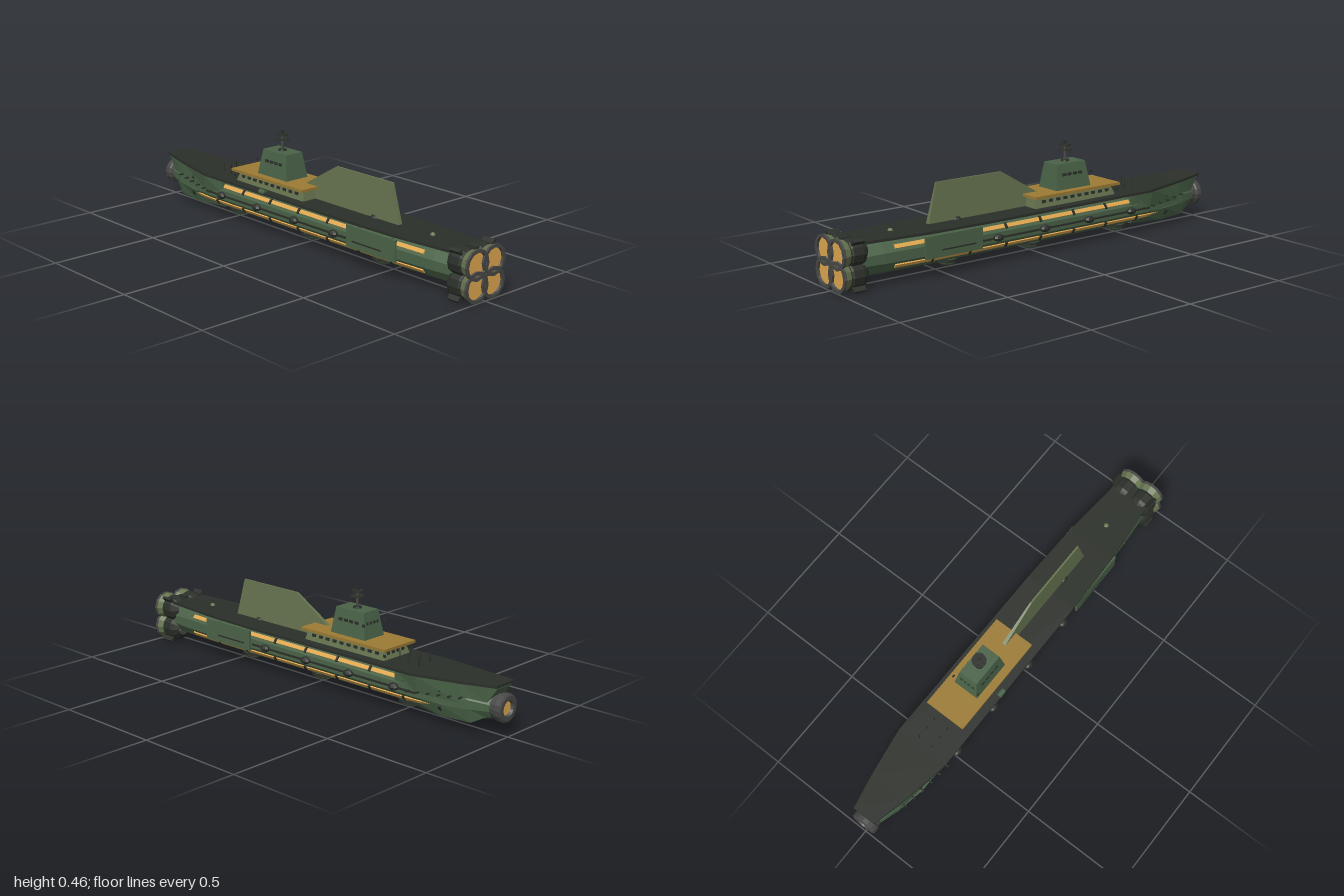
import * as THREE from 'three';

const mat = (color) => new THREE.MeshStandardMaterial({ color, flatShading: true, side: THREE.DoubleSide });

// Skins equal-length rings of [x, y] points placed along z, with capped ends
function loft(sections) {
  const pos = [], idx = [], n = sections[0].pts.length;
  for (const s of sections) for (const p of s.pts) pos.push(p[0], p[1], s.z);
  for (let i = 0; i < sections.length - 1; i++) {
    for (let j = 0; j < n; j++) {
      const a = i * n + j, b = i * n + (j + 1) % n;
      idx.push(a, a + n, b, b, a + n, b + n);
    }
  }
  const e = (sections.length - 1) * n;
  for (let j = 1; j < n - 1; j++) idx.push(0, j, j + 1, e, e + j + 1, e + j);
  const g = new THREE.BufferGeometry();
  g.setAttribute('position', new THREE.Float32BufferAttribute(pos, 3));
  g.setIndex(idx);
  const flat = g.toNonIndexed();
  flat.computeVertexNormals();
  return flat;
}

// Four-sided section: half width wb at height yb, wt at height yt
const quad = (z, wb, yb, wt, yt) => ({ z, pts: [[wb, yb], [wt, yt], [-wt, yt], [-wb, yb]] });

// Box whose top face has its own half width and z range
function taperBox(w0, w1, y0, y1, zb, zt) {
  const g = new THREE.BoxGeometry(1, 1, 1);
  const p = g.attributes.position;
  for (let i = 0; i < p.count; i++) {
    const top = p.getY(i) > 0, z = top ? zt : zb;
    p.setXYZ(i, Math.sign(p.getX(i)) * (top ? w1 : w0), top ? y1 : y0, p.getZ(i) > 0 ? z[1] : z[0]);
  }
  g.computeVertexNormals();
  return g;
}

// Hull stations: z, half width, half height
const stations = [[0.93, 0.085, 0.07], [0.8, 0.096, 0.079], [0.6, 0.106, 0.08], [0.3, 0.108, 0.08],
  [-0.6, 0.108, 0.08], [-0.85, 0.08, 0.074], [-0.95, 0.05, 0.05]];
const CY = 0.12;
function hullAt(z) {
  let i = 0;
  while (i < stations.length - 2 && stations[i + 1][0] > z) i++;
  const [a, b] = [stations[i], stations[i + 1]], t = (z - a[0]) / (b[0] - a[0]);
  return [a[1] + (b[1] - a[1]) * t, a[2] + (b[2] - a[2]) * t];
}

export function createModel() {
  const root = new THREE.Group();
  root.name = 'ship';
  const green = mat(0x4a6348), olive = mat(0x66744f), dark = mat(0x2b2f29), grey = mat(0x484846);
  const gold = mat(0x9c7b34), glow = mat(0xe0a850);
  const add = (name, geo, m, x = 0, y = 0, z = 0, parent = root) => {
    const mesh = new THREE.Mesh(geo, m);
    mesh.name = name;
    mesh.position.set(x, y, z);
    parent.add(mesh);
    return mesh;
  };
  const box = (name, m, w, h, d, x, y, z) => add(name, new THREE.BoxGeometry(w, h, d), m, x, y, z);
  const rod = (name, m, r0, r1, len, x, y, z, sides = 12) =>
    add(name, new THREE.CylinderGeometry(r0, r1, len, sides), m, x, y, z);

  // Twelve-sided hull
  add('hull', loft(stations.map(([z, rx, ry]) => ({
    z,
    pts: Array.from({ length: 12 }, (_, k) => {
      const a = (k + 0.5) * Math.PI / 6;
      return [Math.cos(a) * rx, CY + Math.sin(a) * ry / Math.cos(Math.PI / 12)];
    }),
  }))), green);

  // Flared bow under the deck and the chin below it
  add('bow', loft([quad(-0.5, 0.1, 0.12, 0.105, 0.197), quad(-0.62, 0.105, 0.12, 0.122, 0.199),
    quad(-0.82, 0.08, 0.12, 0.086, 0.207), quad(-0.93, 0.05, 0.14, 0.06, 0.211),
    quad(-0.975, 0.045, 0.205, 0.05, 0.214)]), green);
  add('chin', loft([quad(-0.55, 0.05, 0.042, 0.095, 0.09), quad(-0.72, 0.075, 0.04, 0.1, 0.1),
    quad(-0.86, 0.06, 0.042, 0.075, 0.1), quad(-0.95, 0.03, 0.09, 0.04, 0.11)]), green);

  // Overhanging deck, rising toward the bow
  const deck = [[0.95, 0.086, 0.205], [0.6, 0.116, 0.203], [0.3, 0.125, 0.203], [-0.6, 0.127, 0.205],
    [-0.82, 0.09, 0.214], [-0.98, 0.055, 0.222]];
  add('deck', loft(deck.map(([z, w, y]) => quad(z, w, y - 0.011, w, y))), dark);

  // Nose ring with a glowing port
  const nose = new THREE.Group();
  nose.name = 'nose';
  nose.position.set(0, 0.12, -0.965);
  nose.rotation.x = -Math.PI / 2;
  root.add(nose);
  const lathe = (pts, n) => new THREE.LatheGeometry(pts.map((p) => new THREE.Vector2(...p)), n);
  add('noseRing', lathe([[0.05, -0.04], [0.054, 0], [0.06, 0.005], [0.06, 0.03], [0.052, 0.035],
    [0.034, 0.035], [0.03, 0.02]], 16), grey, 0, 0, 0, nose);
  add('nosePort', new THREE.CircleGeometry(0.034, 16), glow, 0, 0.022, 0, nose).rotation.x = -Math.PI / 2;

  // Four engines with grey rims and glowing discs
  for (const sx of [-1, 1]) for (const sy of [-1, 1]) {
    const e = new THREE.Group();
    e.name = 'engine';
    e.position.set(sx * 0.0485, 0.1145 + sy * 0.046, 0.89);
    e.rotation.x = Math.PI / 2;
    root.add(e);
    add('engineBody', lathe([[0.03, -0.02], [0.056, 0], [0.06, 0.015], [0.06, 0.06], [0.054, 0.065],
      [0.054, 0.075]], 12), dark, 0, 0, 0, e);
    add('engineBell', lathe([[0.054, 0.07], [0.063, 0.098]], 12), olive, 0, 0, 0, e);
    add('engineRim', lathe([[0.063, 0.098], [0.066, 0.1], [0.066, 0.11], [0.052, 0.11], [0.05, 0.096]], 12),
      grey, 0, 0, 0, e);
    add('engineGlow', new THREE.CircleGeometry(0.053, 12), glow, 0, 0.1, 0, e).rotation.x = -Math.PI / 2;
    // Outer clamp
    box('engineClamp', dark, 0.03, 0.012, 0.055, sx * 0.093, 0.1145 + sy * 0.094, 0.925)
      .rotation.z = sx * sy * Math.PI / 4;
  }
  box('engineCoupling', grey, 0.05, 0.012, 0.06, 0, 0.1145, 0.96);
  box('engineTopClamp', dark, 0.02, 0.012, 0.05, 0, 0.207, 0.925);

  for (const s of [-1, 1]) {
    // Light strips along the upper and lower flanks, broken into panels
    for (const v of [-1, 1]) {
      for (let i = 0; i < 8; i++) {
        const z = 0.665 - i * 0.186, [rx, ry] = hullAt(z), [r0] = hullAt(z + 0.09), [r1] = hullAt(z - 0.09);
        const m = box('lightStrip', glow, 0.008, 0.018, 0.172, s * rx * 0.85, CY + v * ry * 0.5, z);
        m.rotation.order = 'YXZ';
        m.rotation.z = s * v * 0.66;
        m.rotation.y = s * Math.atan((r0 - r1) / 0.18) * 0.85;
        box('stripClamp', dark, 0.014, 0.026, 0.01, s * rx * 0.85, CY + v * ry * 0.5, z - 0.093)
          .rotation.z = s * v * 0.66;
      }
    }
    // Armour plate, rails and flank blisters
    box('armourPlate', green, 0.01, 0.094, 0.285, s * 0.117, 0.137, 0.482);
    box('armourSlot', dark, 0.004, 0.006, 0.17, s * 0.122, 0.12, 0.46);
    box('flankRail', dark, 0.01, 0.008, 0.95, s * 0.105, 0.118, -0.14);
    for (const z of [0.25, 0, -0.25, -0.5]) {
      const d = add('flankBlister', new THREE.SphereGeometry(0.02, 10, 6), dark, s * 0.11, 0.12, z);
      d.scale.set(1, 0.8, 1.3);
    }
    // Bow guns
    for (let i = 0; i < 6; i++) {
      const z = -0.58 - i * 0.05;
      rod('bowGun', dark, 0.004, 0.004, 0.03, s * (hullAt(z)[0] + 0.004), 0.122 + i * 0.005, z, 6)
        .rotation.z = Math.PI / 2;
    }
    // Deckhouse windows and tower lamps
    for (let i = 0; i < 10; i++) box('houseWindow', dark, 0.006, 0.012, 0.02, s * 0.076, 0.229, -0.02 - i * 0.04);
    for (let i = 0; i < 4; i++) box('towerWindow', dark, 0.006, 0.012, 0.02, s * 0.0525, 0.325, -0.153 - i * 0.03);
    box('towerLamp', dark, 0.005, 0.011, 0.012, s * 0.066, 0.325, -0.295);
    box('houseLamp', dark, 0.005, 0.011, 0.012, s * 0.087, 0.228, -0.43);
    for (let i = 0; i < 3; i++) rod('deckPost', dark, 0.0025, 0.0025, 0.045, s * 0.035, 0.226, -0.47 - i * 0.05, 6);
  }
  for (const x of [-0.045, -0.015, 0.015, 0.045]) {
    box('houseEndWindow', dark, 0.016, 0.012, 0.006, x, 0.229, -0.415);
    box('towerEndWindow', dark, 0.012, 0.012, 0.006, x * 0.7, 0.325, -0.284);
  }

  // Belly turrets
  for (const z of [0.44, 0, -0.5]) {
    const d = add('bellyTurret', new THREE.SphereGeometry(0.045, 12, 8), green, 0, 0.037, z);
    d.scale.y = 0.6;
    rod('bellyMount', dark, 0.05, 0.05, 0.012, 0, 0.037, z);
  }

  // Deckhouse, platform and tower
  add('deckhouse', taperBox(0.083, 0.07, 0.2, 0.25, [-0.425, 0.03], [-0.405, 0.02]), olive);
  box('platform', gold, 0.194, 0.012, 0.48, 0, 0.254, -0.2);
  add('tower', taperBox(0.061, 0.045, 0.26, 0.373, [-0.297, -0.103], [-0.277, -0.12]), green);

  // Mast with dishes
  rod('mast', grey, 0.005, 0.007, 0.085, 0, 0.412, -0.2, 8);
  rod('mastBase', dark, 0.018, 0.02, 0.008, 0, 0.376, -0.2);
  rod('lowerDish', dark, 0.032, 0.032, 0.003, 0, 0.425, -0.2);
  rod('middleDish', dark, 0.022, 0.022, 0.003, 0, 0.443, -0.2);
  rod('upperDish', dark, 0.027, 0.027, 0.003, 0, 0.449, -0.2);
  box('mastHead', dark, 0.011, 0.014, 0.011, 0, 0.457, -0.2);

  // Dorsal fin, thinner toward its top
  const outline = new THREE.Shape([[0.535, 0.198], [0.49, 0.373], [0.155, 0.373], [-0.05, 0.25], [-0.05, 0.198]]
    .map((p) => new THREE.Vector2(...p)));
  const fin = new THREE.ExtrudeGeometry(outline, { depth: 1, bevelEnabled: false });
  const fp = fin.attributes.position;
  for (let i = 0; i < fp.count; i++) {
    const z = fp.getX(i), y = fp.getY(i), half = 0.011 - (y - 0.198) * 0.04;
    fp.setXYZ(i, fp.getZ(i) > 0.5 ? -half : half, y, z);
  }
  fin.computeVertexNormals();
  add('dorsalFin', fin, olive);

  // Deck fittings
  add('finDome', new THREE.SphereGeometry(0.022, 10, 6), dark, 0, 0.203, 0.39).scale.y = 0.6;
  add('sternDome', new THREE.SphereGeometry(0.012, 10, 6), olive, 0, 0.203, 0.715);
  const pod = rod('sidePod', green, 0.012, 0.012, 0.035, -0.116, 0.203, -0.2, 10);
  pod.rotation.x = Math.PI / 2;
  return root;
}
